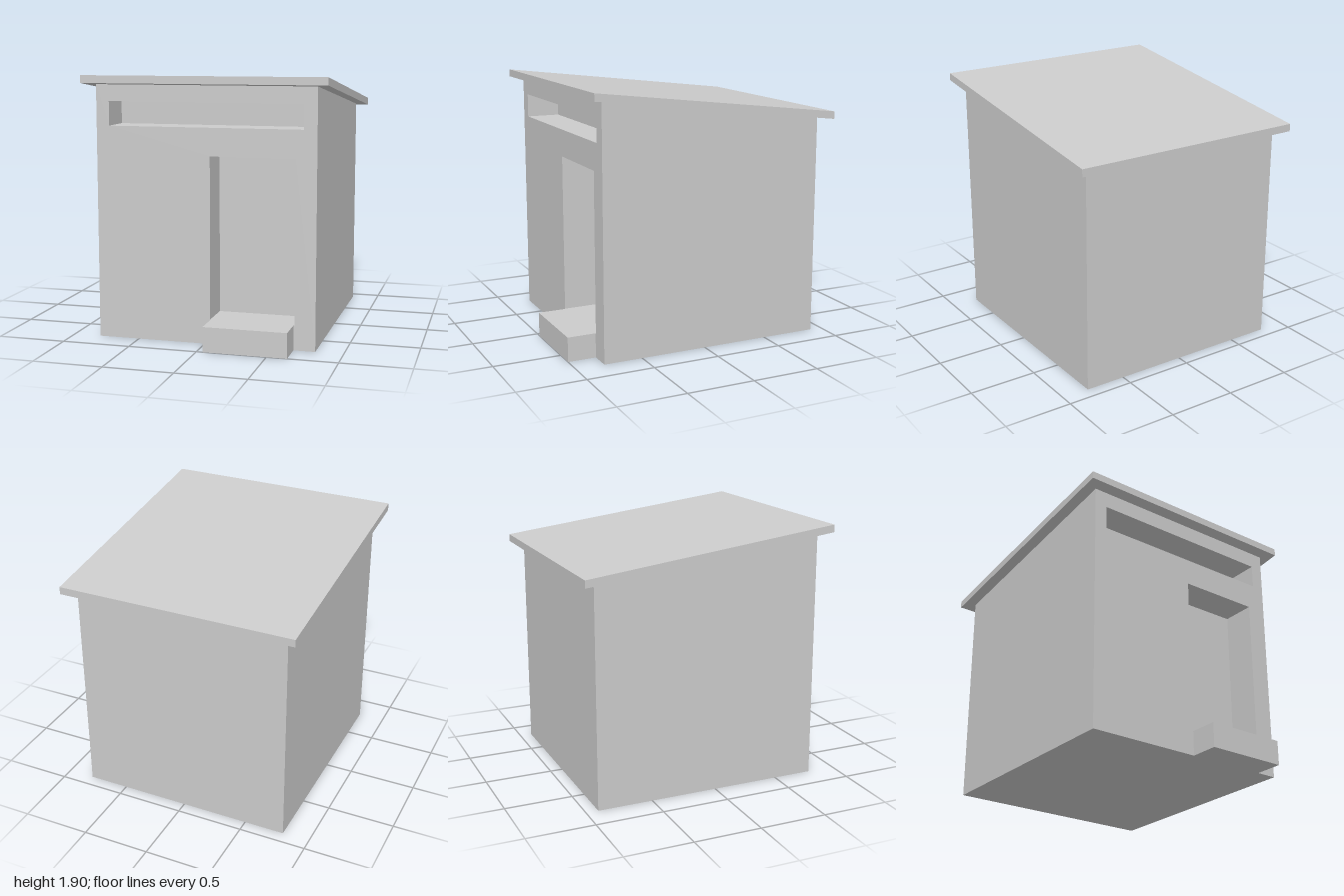
import * as THREE from 'three';

const material = new THREE.MeshStandardMaterial({ color: 0xcccccc });
const BACK = -0.91, FRONT = 0.79, RECESS = 0.54, HALF = 0.8;

// Height of the sloping roof underside at depth z
const eaves = (z) => 1.62 + (z + 1) * (0.228 / 1.875);

function part(name, geometry) {
  const mesh = new THREE.Mesh(geometry, material);
  mesh.name = name;
  return mesh;
}

// Side profile of [z, y] points, extruded across x
function acrossX(points, halfWidth) {
  const shape = new THREE.Shape(points.map(([z, y]) => new THREE.Vector2(z, y)));
  return new THREE.ExtrudeGeometry(shape, { depth: 2 * halfWidth, bevelEnabled: false })
    .translate(0, 0, -halfWidth)
    .rotateY(-Math.PI / 2);
}

function rectangle(Type, x0, y0, x1, y1) {
  return new Type([[x0, y0], [x1, y0], [x1, y1], [x0, y1]].map(([x, y]) => new THREE.Vector2(x, y)));
}

export function createModel() {
  const group = new THREE.Group();
  group.name = 'shed';

  // Main body behind the recessed openings
  group.add(part('body', acrossX(
    [[BACK, 0], [RECESS, 0], [RECESS, eaves(RECESS)], [BACK, eaves(BACK)]], HALF)));

  // Front wall with door and window openings; its top follows the roof slope
  const wall = rectangle(THREE.Shape, -HALF, 0, HALF, 1.8);
  wall.holes.push(
    rectangle(THREE.Path, 0.04, 0.18, 0.65, 1.345),
    rectangle(THREE.Path, -0.705, 1.545, 0.705, 1.72));
  const wallGeometry = new THREE.ExtrudeGeometry(wall, { depth: FRONT - RECESS, bevelEnabled: false })
    .translate(0, 0, RECESS);
  const p = wallGeometry.attributes.position;
  for (let i = 0; i < p.count; i++) {
    if (p.getY(i) > 1.79) p.setY(i, eaves(p.getZ(i)));
  }
  wallGeometry.computeVertexNormals();
  group.add(part('frontWall', wallGeometry));

  // Doorstep
  group.add(part('doorstep', new THREE.BoxGeometry(0.6, 0.18, 1 - FRONT)
    .translate(0.345, 0.09, (1 + FRONT) / 2)));

  // Overhanging sloped roof slab
  const thickness = 0.055;
  group.add(part('roof', acrossX(
    [[-1, eaves(-1)], [0.875, eaves(0.875)],
      [0.875, eaves(0.875) + thickness], [-1, eaves(-1) + thickness]], 0.885)));

  return group;
}
